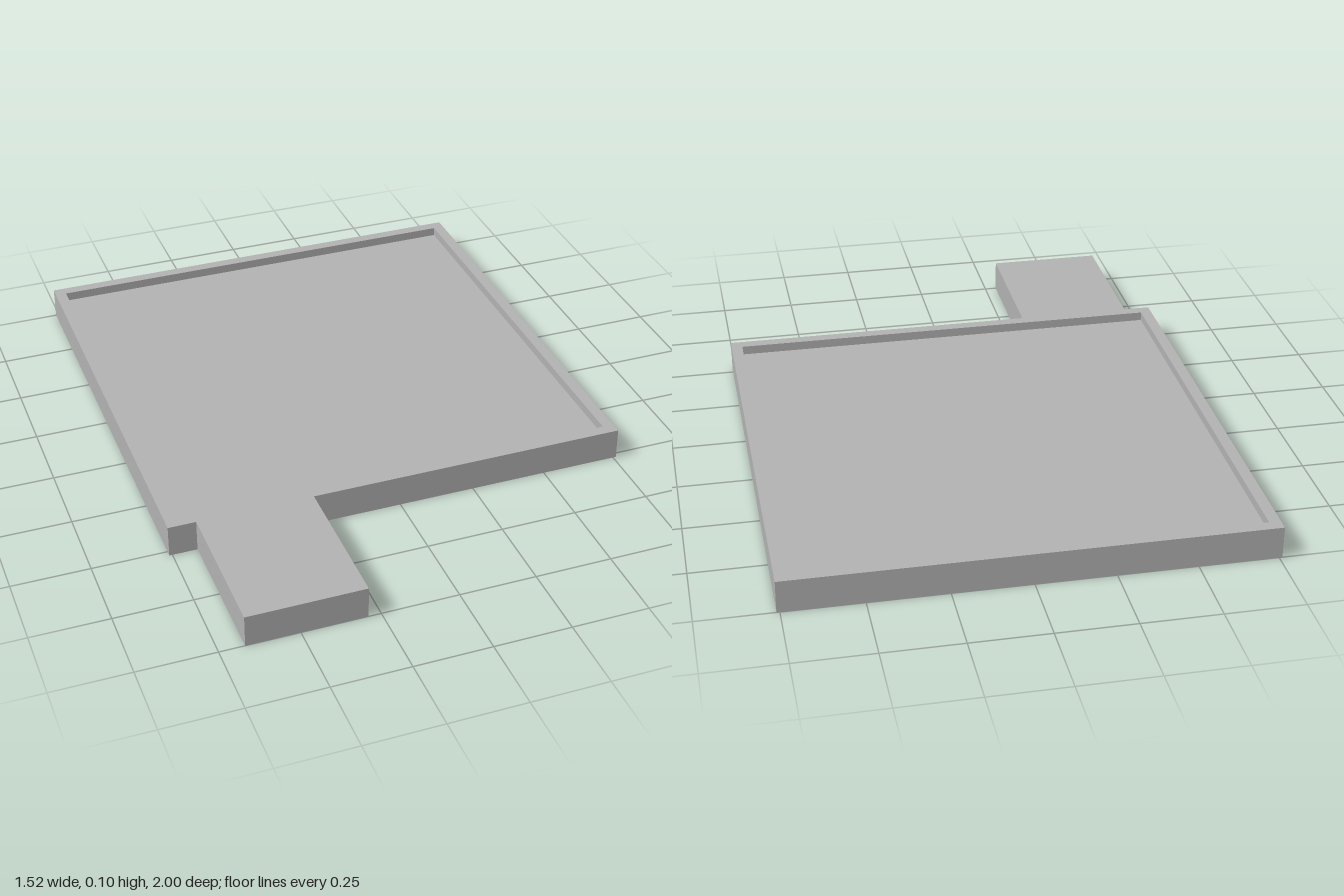
import * as THREE from 'three';

export function createModel() {
  const group = new THREE.Group();
  const grey = new THREE.MeshStandardMaterial({ color: 0xb2b2b2 });
  grey.name = 'grey';

  const height = 0.105, recessDepth = 0.03;
  const half = 0.76, back = -1, front = 0.52, end = 1; // tray and handle extents
  const wall = 0.037;
  const handleLeft = -0.29, handleRight = -0.67;

  // Plan points are [x, z]; the shape's y becomes -z when laid flat
  const toPoints = (list) => list.map(([x, z]) => new THREE.Vector2(x, -z));

  // Tray rim and handle share one outline, with an opening for the recess
  const shape = new THREE.Shape(toPoints([
    [-half, back], [half, back], [half, front],
    [handleLeft, front], [handleLeft, end], [handleRight, end], [handleRight, front],
    [-half, front],
  ]));
  const inner = half - wall, innerBack = back + wall, innerFront = front - wall;
  shape.holes.push(new THREE.Path(toPoints([
    [-inner, innerBack], [-inner, innerFront], [inner, innerFront], [inner, innerBack],
  ])));
  const rimGeometry = new THREE.ExtrudeGeometry(shape, { depth: height, bevelEnabled: false });
  rimGeometry.rotateX(-Math.PI / 2);
  const rim = new THREE.Mesh(rimGeometry, grey);
  rim.name = 'rimAndHandle';
  group.add(rim);

  // Sunken floor filling the opening up to the recess
  const floorHeight = height - recessDepth;
  const floor = new THREE.Mesh(
    new THREE.BoxGeometry(2 * inner, floorHeight, innerFront - innerBack), grey);
  floor.position.set(0, floorHeight / 2, (innerFront + innerBack) / 2);
  floor.name = 'trayFloor';
  group.add(floor);

  return group;
}
